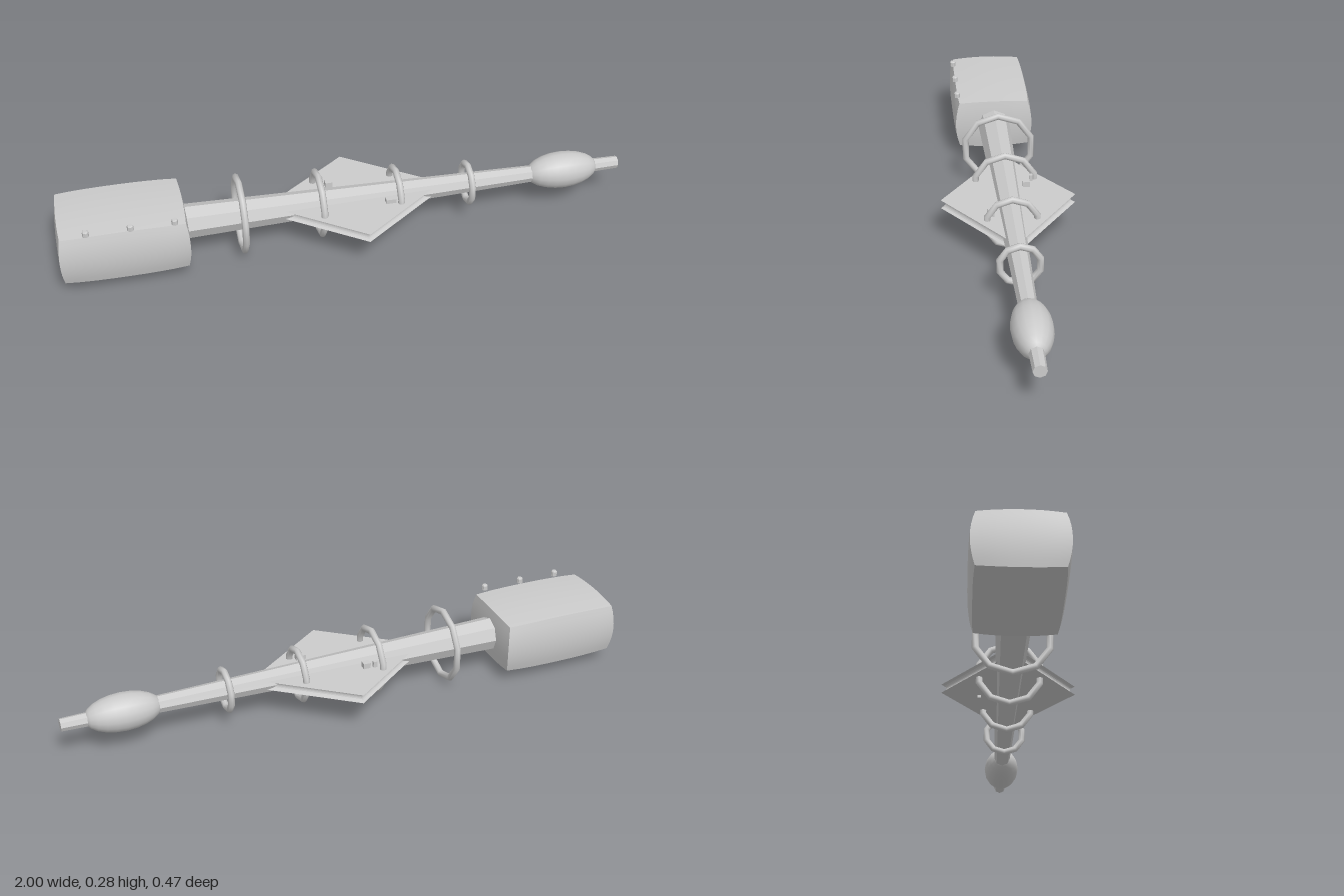
import * as THREE from 'three';

const AXIS_Y = 0.142;

export function createModel() {
  const group = new THREE.Group();
  const smooth = new THREE.MeshStandardMaterial({ color: 0xcccccc });
  const flat = new THREE.MeshStandardMaterial({ color: 0xcccccc, flatShading: true });

  const add = (name, geometry, x, y, z, material = smooth) => {
    const mesh = new THREE.Mesh(geometry, material);
    mesh.name = name;
    mesh.position.set(x, y, z);
    group.add(mesh);
    return mesh;
  };

  // Rear body: a box whose faces bulge outwards, sharp along the edges
  const body = new THREE.BoxGeometry(2, 2, 2, 8, 8, 8);
  const p = body.attributes.position;
  for (let i = 0; i < p.count; i++) {
    const u = p.getX(i), v = p.getY(i), w = p.getZ(i);
    p.setXYZ(i,
      0.22 * u * (1 - 0.04 * v * v - 0.02 * w * w),
      0.1 * v * (1 - 0.05 * u * u - 0.06 * w * w),
      0.15 * w * (1 - 0.03 * u ** 4 - 0.1 * v * v));
  }
  body.computeVertexNormals();
  add('rearBody', body, -0.78, AXIS_Y, 0);

  // Knobs along one upper edge of the body
  const knobProfile = [[0, -0.01], [0.011, -0.01], [0.011, 0.006], [0.008, 0.01], [0, 0.01]]
    .map(([r, y]) => new THREE.Vector2(r, y));
  for (const x of [-0.9, -0.755, -0.61]) {
    add('knob', new THREE.LatheGeometry(knobProfile, 8), x, 0.252, 0.137, flat);
  }

  // Tapered eight-sided boom running to the tip
  const boom = new THREE.CylinderGeometry(0.022, 0.061, 1.6, 8).rotateZ(-Math.PI / 2);
  add('boom', boom, 0.2, AXIS_Y, 0, flat);

  // Nose bulb
  const bulb = new THREE.SphereGeometry(1, 16, 12).rotateZ(-Math.PI / 2).scale(0.132, 0.066, 0.066);
  add('noseBulb', bulb, 0.79, AXIS_Y, 0);

  // Ten-sided rings, shrinking towards the nose
  for (const [x, outer] of [[-0.375, 0.139], [-0.1, 0.121], [0.175, 0.101], [0.437, 0.081]]) {
    const ring = new THREE.TorusGeometry(outer - 0.012, 0.012, 8, 10)
      .rotateZ(Math.PI / 2).rotateY(Math.PI / 2);
    add('ring', ring, x, AXIS_Y, 0);
  }

  // Diamond fin with a hollowed rim, lofted from stacked diamonds
  const corners = [[0.315, 0], [0, -0.234], [-0.315, 0], [0, 0.234]];
  const layers = 8, points = [], index = [];
  for (let j = 0; j <= layers; j++) {
    const t = (j / layers) * 2 - 1;
    const s = 1 - 0.075 * Math.sqrt(1 - t * t);
    for (const [x, z] of corners) points.push(x * s, t * 0.0155, z * s);
  }
  for (let j = 0; j < layers; j++) {
    for (let k = 0; k < 4; k++) {
      const a = j * 4 + k, b = j * 4 + (k + 1) % 4;
      index.push(a, b, b + 4, a, b + 4, a + 4);
    }
  }
  const top = layers * 4;
  index.push(top, top + 1, top + 2, top, top + 2, top + 3, 0, 2, 1, 0, 3, 2);
  const fin = new THREE.BufferGeometry();
  fin.setAttribute('position', new THREE.Float32BufferAttribute(points, 3));
  fin.setIndex(index);
  const finGeometry = fin.toNonIndexed();
  finGeometry.computeVertexNormals();
  add('diamondFin', finGeometry, 0.028, AXIS_Y, 0, flat);

  // Small fittings on the fin
  const fittings = [
    [0.14, 0.163, 0.07, 0.035, 0.02, 0.022],
    [-0.05, 0.165, -0.07, 0.025, 0.024, 0.024],
    [0.06, 0.122, -0.1, 0.035, 0.012, 0.012],
    [-0.075, 0.175, -0.09, 0.014, 0.022, 0.01],
  ];
  for (const [x, y, z, w, h, d] of fittings) {
    add('fitting', new THREE.BoxGeometry(w, h, d), x, y, z, flat);
  }

  return group;
}
